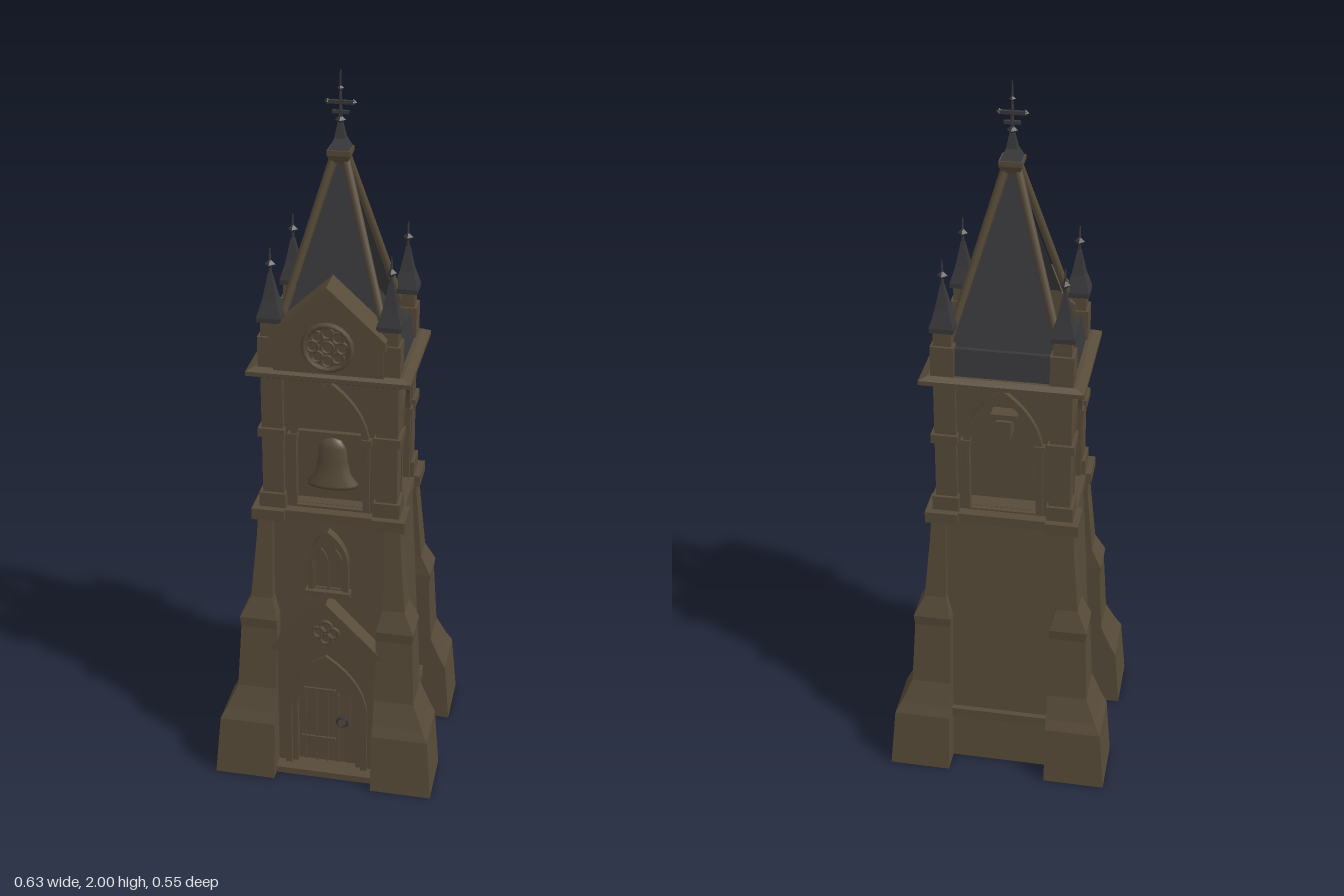
import * as THREE from 'three';

const stone = new THREE.MeshStandardMaterial({ color: 0x574b39, side: THREE.DoubleSide });
stone.name = 'weathered stone';
const slate = new THREE.MeshStandardMaterial({ color: 0x38383b, side: THREE.DoubleSide });
slate.name = 'dark slate';

function add(parent, name, geo, mat, x = 0, y = 0, z = 0) {
  const m = new THREE.Mesh(geo, mat);
  m.name = name;
  m.position.set(x, y, z);
  parent.add(m);
  return m;
}
const box = (p, name, mat, w, h, d, x, y, z) => add(p, name, new THREE.BoxGeometry(w, h, d), mat, x, y, z);

// Stack of rectangular sections [y, x0, x1, z0, z1], flat shaded and capped
function loft(sections) {
  const pos = [];
  const rings = sections.map(([y, xa, xb, za, zb]) => {
    const x0 = Math.min(xa, xb), x1 = Math.max(xa, xb), z0 = Math.min(za, zb), z1 = Math.max(za, zb);
    return [[x0, y, z0], [x0, y, z1], [x1, y, z1], [x1, y, z0]];
  });
  const quad = (a, b, c, d) => pos.push(...a, ...b, ...c, ...a, ...c, ...d);
  for (let i = 0; i + 1 < rings.length; i++) {
    for (let k = 0; k < 4; k++) {
      const n = (k + 1) % 4;
      quad(rings[i][k], rings[i][n], rings[i + 1][n], rings[i + 1][k]);
    }
  }
  const top = rings[rings.length - 1], low = rings[0];
  quad(top[0], top[1], top[2], top[3]);
  quad(low[3], low[2], low[1], low[0]);
  const g = new THREE.BufferGeometry();
  g.setAttribute('position', new THREE.Float32BufferAttribute(pos, 3));
  g.computeVertexNormals();
  return g;
}

// Pointed arch outline, usable as a shape or as a hole
function arch(hw, y0, spring, apex, Type = THREE.Shape) {
  const s = new Type(), c = spring + (apex - spring) * 0.6;
  s.moveTo(-hw, y0);
  s.lineTo(hw, y0);
  s.lineTo(hw, spring);
  s.quadraticCurveTo(hw * 0.9, c, 0, apex);
  s.quadraticCurveTo(-hw * 0.9, c, -hw, spring);
  s.closePath();
  return s;
}
const poly = (pts) => new THREE.Shape(pts.map(([x, y]) => new THREE.Vector2(x, y)));
const extrude = (shape, depth) => new THREE.ExtrudeGeometry(shape, { depth, bevelEnabled: false, curveSegments: 10 });
function archFrame(hw, y0, spring, apex, t, depth) {
  const s = arch(hw, y0, spring, apex);
  s.holes.push(arch(hw - t, y0 + 0.004, spring, apex - t * 1.3, THREE.Path));
  return extrude(s, depth);
}
const chevron = (hw, eave, apex, t, depth) =>
  extrude(poly([[-hw, eave], [0, apex - t], [hw, eave], [hw, eave + t], [0, apex], [-hw, eave + t]]), depth);

function rod(p, name, mat, a, b, r) {
  const A = new THREE.Vector3(...a), B = new THREE.Vector3(...b), d = B.clone().sub(A);
  const m = add(p, name, new THREE.CylinderGeometry(r, r, d.length(), 8), mat);
  m.position.copy(A).add(B).multiplyScalar(0.5);
  m.quaternion.setFromUnitVectors(new THREE.Vector3(0, 1, 0), d.normalize());
}
function triangle(p, name, mat, ...pts) {
  const g = new THREE.BufferGeometry();
  g.setAttribute('position', new THREE.Float32BufferAttribute(pts.flat(), 3));
  g.computeVertexNormals();
  add(p, name, g, mat);
}
const square = (y, h) => [y, -h, h, -h, h];
const ring = (p, name, mat, r, t, x, y, z) => add(p, name, new THREE.TorusGeometry(r, t, 6, 20), mat, x, y, z);

// Corner buttress, belfry post and pinnacle
function corner(root, sx, sz) {
  const g = new THREE.Group();
  g.name = 'corner';
  root.add(g);
  const profile = [[0, 0.313, 0.275], [0.18, 0.298, 0.26], [0.21, 0.282, 0.247], [0.28, 0.252, 0.224],
    [0.47, 0.242, 0.206], [0.5, 0.245, 0.208], [0.56, 0.216, 0.188], [0.74, 0.2, 0.172], [0.82, 0.195, 0.165]];
  add(g, 'buttress', loft(profile.map(([y, x, z]) =>
    [y, sx * (y > 0.5 ? 0.155 : 0.14), sx * x, sz * (y > 0.5 ? 0.11 : 0.105), sz * z])), stone);
  const block = (name, y0, y1, x0, x1, z0, z1) =>
    add(g, name, loft([[y0, sx * x0, sx * x1, sz * z0, sz * z1], [y1, sx * x0, sx * x1, sz * z0, sz * z1]]), stone);
  block('belfryPost', 0.82, 1.24, 0.125, 0.183, 0.09, 0.152);
  block('postPlinth', 0.835, 0.88, 0.12, 0.192, 0.085, 0.161);
  block('postCollar', 1.05, 1.075, 0.12, 0.192, 0.085, 0.161);
  block('lowerCorniceCorner', 0.805, 0.838, 0.12, 0.21, 0.085, 0.18);
  block('pinnacleBase', 1.25, 1.34, 0.125, 0.187, 0.1, 0.162);
  const p = new THREE.Group();
  p.name = 'pinnacle';
  p.position.set(sx * 0.156, 0, sz * 0.13);
  g.add(p);
  add(p, 'pinnacleShaft', loft([square(1.34, 0.024), square(1.385, 0.024)]), stone);
  add(p, 'pinnacleRoof', loft([square(1.38, 0.032), square(1.393, 0.032), square(1.44, 0.018), square(1.505, 0.005)]), slate);
  add(p, 'pinnacleRod', new THREE.CylinderGeometry(0.002, 0.005, 0.075, 6), slate, 0, 1.535, 0);
  add(p, 'pinnacleKnob', new THREE.OctahedronGeometry(0.014), slate, 0, 1.53, 0);
}

// Belfry wall with a pointed opening, built facing +z and then turned
function belfryWall(root, turn, dist, half, hw) {
  const g = new THREE.Group();
  g.name = 'belfryWall';
  g.rotation.y = turn;
  root.add(g);
  const wall = poly([[-half, 0.83], [half, 0.83], [half, 1.24], [-half, 1.24]]);
  wall.holes.push(arch(hw, 0.85, 1.05, 1.21, THREE.Path));
  add(g, 'archedWall', extrude(wall, 0.045), stone, 0, 0, dist - 0.06);
  add(g, 'archMoulding', archFrame(hw + 0.008, 0.845, 1.05, 1.222, 0.018, 0.022), stone, 0, 0, dist - 0.022);
  for (const s of [-1, 1]) {
    add(g, 'column', new THREE.CylinderGeometry(0.009, 0.009, 0.2, 8), stone, s * hw, 0.95, dist - 0.008);
    box(g, 'columnCapital', stone, 0.026, 0.018, 0.026, s * hw, 1.055, dist - 0.008);
  }
  return g;
}

export function createModel() {
  const root = new THREE.Group();
  root.name = 'gothicTower';

  // Tapered shaft, belfry core and cornices
  add(root, 'shaft', loft([[0, -0.23, 0.23, -0.21, 0.178], [0.82, -0.183, 0.183, -0.15, 0.15]]), stone);
  box(root, 'belfryCore', stone, 0.26, 0.42, 0.18, 0, 1.03, 0);
  box(root, 'lowerCornice', stone, 0.39, 0.028, 0.33, 0, 0.82, 0);
  add(root, 'upperCornice', loft([[1.222, -0.19, 0.19, -0.155, 0.155], [1.234, -0.217, 0.217, -0.178, 0.178],
    [1.246, -0.217, 0.217, -0.178, 0.178], [1.256, -0.195, 0.195, -0.163, 0.163]]), stone);
  for (const s of [-1, 1]) box(root, 'sideLedge', stone, 0.03, 0.035, 0.15, s * 0.217, 0.165, -0.045);
  box(root, 'backLedge', stone, 0.28, 0.03, 0.025, 0, 0.165, -0.2);
  for (const sx of [-1, 1]) for (const sz of [-1, 1]) corner(root, sx, sz);

  // Four belfry openings, with a bell in front and beams elsewhere
  belfryWall(root, 0, 0.152, 0.13, 0.1);
  [[Math.PI, 0.152, 0.13, 0.1], [Math.PI / 2, 0.183, 0.1, 0.065], [-Math.PI / 2, 0.183, 0.1, 0.065]].forEach((a) => {
    const w = belfryWall(root, ...a);
    box(w, 'bellBeam', stone, 0.04, 0.055, 0.05, 0, 1.095, a[1] - 0.035);
    box(w, 'beamCap', stone, 0.07, 0.015, 0.04, 0, 1.13, a[1] - 0.04);
  });
  box(root, 'bellPanel', stone, 0.2, 0.2, 0.02, 0, 0.95, 0.095);
  const bellProfile = [[0, 0.895], [0.068, 0.895], [0.07, 0.905], [0.05, 0.93], [0.041, 0.97], [0.037, 1.01], [0.024, 1.032], [0, 1.038]];
  const bell = add(root, 'bell', new THREE.LatheGeometry(bellProfile.map(([x, y]) => new THREE.Vector2(x, y)), 20), stone, 0, 0, 0.107);
  bell.scale.z = 0.45;

  // Porch with arched door
  const porch = poly([[-0.14, 0], [0.14, 0], [0.14, 0.41], [0, 0.555], [-0.14, 0.41]]);
  porch.holes.push(arch(0.1, 0.015, 0.22, 0.385, THREE.Path));
  add(root, 'porch', extrude(porch, 0.06), stone, 0, 0, 0.145);
  add(root, 'porchCoping', chevron(0.155, 0.39, 0.575, 0.028, 0.06), stone, 0, 0, 0.152);
  add(root, 'outerDoorArch', archFrame(0.118, 0, 0.23, 0.405, 0.018, 0.03), stone, 0, 0, 0.186);
  add(root, 'innerDoorArch', archFrame(0.1, 0, 0.22, 0.385, 0.016, 0.03), stone, 0, 0, 0.175);
  add(root, 'door', extrude(arch(0.088, 0.015, 0.21, 0.365), 0.012), stone, 0, 0, 0.176);
  for (let i = -2; i <= 2; i++) box(root, 'doorBatten', stone, 0.004, 0.24, 0.006, i * 0.032, 0.14, 0.19);
  for (const y of [0.1, 0.27]) box(root, 'hingeStrap', stone, 0.1, 0.012, 0.006, -0.025, y, 0.193);
  ring(root, 'doorRing', slate, 0.015, 0.004, 0.045, 0.17, 0.197);
  box(root, 'doorStep', stone, 0.28, 0.02, 0.08, 0, 0.01, 0.205);
  for (const [x, y] of [[1, 0], [-1, 0], [0, 1], [0, -1]])
    ring(root, 'quatrefoilLobe', stone, 0.016, 0.005, x * 0.02, 0.48 + y * 0.02, 0.207);

  // Lancet window
  box(root, 'windowSill', stone, 0.125, 0.018, 0.04, 0, 0.59, 0.168);
  add(root, 'windowFrame', archFrame(0.056, 0.595, 0.69, 0.785, 0.014, 0.03), stone, 0, 0, 0.148);
  add(root, 'windowGlass', extrude(arch(0.042, 0.6, 0.69, 0.76), 0.008), stone, 0, 0, 0.158);
  for (const s of [-1, 1])
    add(root, 'lancetTracery', archFrame(0.021, 0.6, 0.68, 0.73, 0.005, 0.012), stone, s * 0.02, 0, 0.161);

  // Front gable with rose window
  add(root, 'gable', extrude(poly([[-0.145, 1.25], [0.145, 1.25], [0.145, 1.35], [0, 1.485], [-0.145, 1.35]]), 0.07), stone, 0, 0, 0.098);
  add(root, 'gableCoping', chevron(0.152, 1.33, 1.5, 0.03, 0.09), stone, 0, 0, 0.095);
  ring(root, 'roseWindowRim', stone, 0.062, 0.008, 0, 1.33, 0.172);
  ring(root, 'roseWindowHub', stone, 0.016, 0.004, 0, 1.33, 0.17);
  for (let i = 0; i < 8; i++) {
    const a = i * Math.PI / 4;
    ring(root, 'roseWindowPetal', stone, 0.015, 0.004, 0.039 * Math.cos(a), 1.33 + 0.039 * Math.sin(a), 0.17);
  }

  // Slate skirt around the roof foot, open inside
  for (const s of [-1, 1]) add(root, 'sideRoofSkirt', loft([[1.25, s * 0.168, s * 0.184, -0.11, 0.11], [1.33, s * 0.16, s * 0.17, -0.11, 0.11]]), slate);
  add(root, 'backRoofSkirt', loft([[1.25, -0.135, 0.135, -0.155, -0.14], [1.33, -0.135, 0.135, -0.142, -0.13]]), slate);

  // Spire: slate front and back, broken open at the sides
  const apex = [0, 1.79, 0];
  triangle(root, 'frontRoofPanel', slate, [-0.135, 1.33, 0.112], [0.135, 1.33, 0.112], apex);
  triangle(root, 'backRoofPanel', slate, [0.14, 1.32, -0.132], [-0.14, 1.32, -0.132], apex);
  triangle(root, 'brokenRoofPanel', slate, [0.162, 1.32, 0.115], [0.162, 1.32, -0.06], [0.112, 1.46, 0.06]);
  for (const sx of [-1, 1]) for (const sz of [-1, 1])
    rod(root, 'spireRib', stone, [sx * 0.15, 1.32, sz * 0.125], [sx * 0.01, 1.8, sz * 0.008], 0.011);

  // Spire cap and cross finial
  add(root, 'spireCollar', loft([square(1.77, 0.022), square(1.79, 0.03), square(1.803, 0.03)]), stone);
  add(root, 'spireCap', loft([square(1.8, 0.028), square(1.83, 0.014), square(1.87, 0.006)]), slate);
  add(root, 'finialRod', new THREE.CylinderGeometry(0.002, 0.006, 0.15, 6), slate, 0, 1.925, 0);
  add(root, 'finialKnob', new THREE.OctahedronGeometry(0.014), slate, 0, 1.875, 0);
  box(root, 'crossArm', slate, 0.07, 0.009, 0.01, 0, 1.92, 0);
  box(root, 'lowerCrossArm', slate, 0.042, 0.008, 0.01, 0, 1.895, 0);
  for (const s of [-1, 1]) add(root, 'crossTip', new THREE.OctahedronGeometry(0.009), slate, s * 0.033, 1.92, 0);
  add(root, 'crossTop', new THREE.OctahedronGeometry(0.009), slate, 0, 1.955, 0);
  return root;
}
